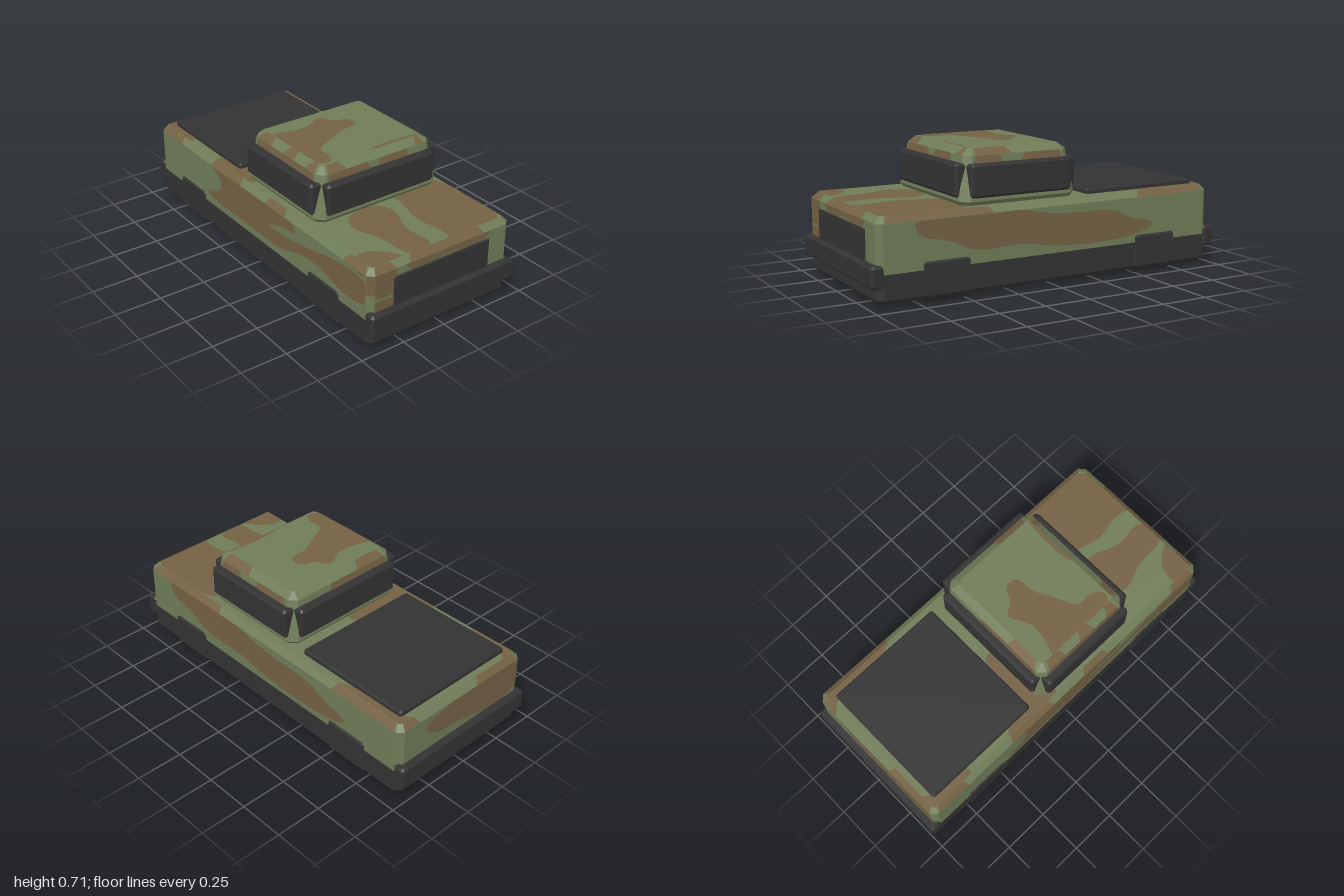
import * as THREE from 'three';
import { ConvexGeometry } from 'three/addons/geometries/ConvexGeometry.js';

const V = (x, y, z) => new THREE.Vector3(x, y, z);

// Faceted solid from horizontal rings [y, x0, x1, z0, z1, cut], with corners cut at 45 degrees
function solid(rings) {
  const pts = [];
  for (const [y, x0, x1, z0, z1, c] of rings) {
    for (const [x, sx] of [[x0, 1], [x1, -1]]) {
      for (const [z, sz] of [[z0, 1], [z1, -1]]) {
        pts.push(V(x + sx * c, y, z), V(x, y, z + sz * c));
      }
    }
  }
  return new ConvexGeometry(pts);
}

// Box with every edge bevelled by c
function bevelBox(x0, x1, y0, y1, z0, z1, c) {
  const inner = [x0 + c, x1 - c, z0 + c, z1 - c, c / 2];
  const outer = [x0, x1, z0, z1, c];
  return solid([[y0, ...inner], [y0 + c, ...outer], [y1 - c, ...outer], [y1, ...inner]]);
}

// Corner-cutting smoothing of a closed outline
function smooth(pts, rounds) {
  for (let r = 0; r < rounds; r++) {
    pts = pts.flatMap(([x, y], i) => {
      const [u, v] = pts[(i + 1) % pts.length];
      return [[x * 0.75 + u * 0.25, y * 0.75 + v * 0.25], [x * 0.25 + u * 0.75, y * 0.25 + v * 0.75]];
    });
  }
  return pts;
}

// Camouflage patch: a flat outline clamped to the face bounds, then mapped onto the face
function patchGeometry(map, [a0, a1, b0, b1], pts, rounds = 2) {
  const outline = smooth(pts, rounds).map(([a, b]) => new THREE.Vector2(
    Math.min(a1, Math.max(a0, a)), Math.min(b1, Math.max(b0, b))));
  const geo = new THREE.ShapeGeometry(new THREE.Shape(outline));
  const pos = geo.attributes.position;
  for (let i = 0; i < pos.count; i++) {
    const p = map(pos.getX(i), pos.getY(i));
    pos.setXYZ(i, p.x, p.y, p.z);
  }
  geo.computeVertexNormals();
  return geo;
}

export function createModel() {
  const model = new THREE.Group();
  const green = new THREE.MeshStandardMaterial({ name: 'camouflageGreen', color: 0x6f7c58 });
  const brown = new THREE.MeshStandardMaterial({ name: 'camouflageBrown', color: 0x746144, side: THREE.DoubleSide });
  const dark = new THREE.MeshStandardMaterial({ name: 'darkTrim', color: 0x333333 });
  const add = (name, geo, mat) => {
    const mesh = new THREE.Mesh(geo, mat);
    mesh.name = name;
    model.add(mesh);
  };

  // Body and dark chassis
  add('body', solid([
    [0.165, -0.965, 0.965, -0.435, 0.435, 0.03],
    [0.405, -0.965, 0.965, -0.435, 0.435, 0.03],
    [0.435, -0.935, 0.935, -0.405, 0.405, 0.015]]), green);
  add('chassis', solid([
    [0.022, -0.95, 0.95, -0.42, 0.42, 0.03],
    [0.04, -0.965, 0.965, -0.435, 0.435, 0.03],
    [0.166, -0.965, 0.965, -0.435, 0.435, 0.03]]), dark);

  // Bumpers and wheels
  for (const s of [-1, 1]) {
    add('bumper', bevelBox(Math.min(s, s * 0.935), Math.max(s, s * 0.935), 0.1, 0.21, -0.443, 0.443, 0.012), dark);
    for (const x of [-0.612, 0.608]) {
      const ring = (y, w, a, b) => [y, x - w, x + w, Math.min(s * a, s * b), Math.max(s * a, s * b), 0.004];
      add('wheel', solid([ring(0, 0.11, 0.37, 0.405), ring(0.04, 0.123, 0.33, 0.443),
        ring(0.195, 0.123, 0.33, 0.443), ring(0.207, 0.113, 0.34, 0.433)]), dark);
    }
  }

  // Grille and bed cover
  add('grille', bevelBox(0.93, 0.972, 0.2, 0.365, -0.295, 0.295, 0.005), dark);
  add('bedCover', bevelBox(-0.9, -0.23, 0.42, 0.462, -0.368, 0.368, 0.008), dark);

  // Cabin with windows on all four sides
  add('cabin', solid([
    [0.434, -0.15, 0.477, -0.365, 0.365, 0.035],
    [0.455, -0.165, 0.492, -0.38, 0.38, 0.042],
    [0.675, -0.13, 0.457, -0.345, 0.345, 0.035],
    [0.706, -0.09, 0.417, -0.305, 0.305, 0.01]]), green);
  add('sideWindow', bevelBox(-0.122, 0.448, 0.472, 0.638, 0.3, 0.393, 0.012), dark);
  add('sideWindow', bevelBox(-0.122, 0.448, 0.472, 0.638, -0.393, -0.3, 0.012), dark);
  add('windscreen', bevelBox(0.41, 0.504, 0.472, 0.638, -0.33, 0.33, 0.012), dark);
  add('rearWindow', bevelBox(-0.178, -0.08, 0.472, 0.638, -0.33, 0.33, 0.012), dark);

  // Camouflage helpers: smooth patches and straight pieces on narrow bands
  const patches = (name, map, bounds, list) => list.forEach(
    (pts) => add(name, patchGeometry(map, bounds, pts), brown));
  const bands = (name, map, b0, b1, spans) => spans.forEach(([a0, a1]) => add(name, patchGeometry(
    map, [-1, 1, b0, b1], [[a0, b0], [a1, b0], [a1 - 0.02, b1], [a0 + 0.02, b1]], 0), brown));

  // Body sides
  const sideBounds = [-0.935, 0.935, 0.166, 0.405];
  patches('bodySidePatch', (x, y) => V(x, y, 0.4365), sideBounds, [
    [[-0.48, 0.24], [-0.34, 0.27], [-0.3, 0.35], [-0.46, 0.44], [0.28, 0.44], [0.42, 0.36], [0.2, 0.33],
      [0.12, 0.29], [0.3, 0.3], [0.55, 0.34], [0.65, 0.37], [0.96, 0.39], [0.97, 0.24], [0.75, 0.22],
      [0.55, 0.28], [0.35, 0.25], [0.25, 0.2], [-0.1, 0.21], [-0.4, 0.2]],
    [[0.8, 0.4], [0.96, 0.39], [0.96, 0.43], [0.75, 0.43]]]);
  patches('bodySidePatch', (x, y) => V(x, y, -0.4365), sideBounds, [
    [[0.78, 0.44], [0.76, 0.32], [0.6, 0.3], [0.45, 0.22], [0.2, 0.24], [0, 0.2], [-0.3, 0.19],
      [-0.55, 0.22], [-0.62, 0.27], [-0.45, 0.3], [-0.35, 0.36], [-0.1, 0.36], [0.1, 0.38], [0.3, 0.44]]]);

  // Body ends
  const endBounds = [-0.405, 0.405, 0.166, 0.405];
  patches('frontEndPatch', (z, y) => V(0.9665, y, z), endBounds, [
    [[0.45, 0.45], [0.45, 0.31], [0.37, 0.27], [0.27, 0.28], [0.27, 0.37], [0.31, 0.45]],
    [[0.42, 0.25], [0.34, 0.27], [0.28, 0.24], [0.28, 0.2], [0.4, 0.2]],
    [[0.24, 0.44], [0.2, 0.36], [0.06, 0.36], [0, 0.38], [-0.24, 0.36], [-0.3, 0.39], [-0.28, 0.44]]]);
  patches('rearEndPatch', (z, y) => V(-0.9665, y, z), endBounds, [
    [[-0.28, 0.36], [-0.1, 0.4], [0.1, 0.45], [0.45, 0.45], [0.45, 0.24], [0.2, 0.2], [0, 0.26], [-0.2, 0.27]]]);

  // Body top
  patches('bodyTopPatch', (x, z) => V(x, 0.4365, z), [-0.935, 0.935, -0.405, 0.405], [
    [[0.43, -0.45], [1, -0.45], [1, -0.05], [0.85, -0.08], [0.72, -0.04], [0.55, -0.09], [0.42, -0.1]],
    [[0.48, 0.02], [0.6, -0.02], [0.75, 0.06], [0.95, 0.02], [0.97, 0.2], [0.75, 0.2], [0.6, 0.27], [0.48, 0.2]],
    [[0.97, 0.2], [0.86, 0.26], [0.8, 0.34], [0.82, 0.45], [0.97, 0.45]],
    [[-0.24, 0], [-0.1, 0.02], [-0.05, 0.3], [-0.08, 0.46], [-0.42, 0.46], [-0.4, 0.36], [-0.24, 0.34]],
    [[-0.97, 0.3], [-0.9, 0.35], [-0.65, 0.36], [-0.7, 0.45], [-0.97, 0.45]],
    [[-0.97, -0.45], [-0.48, -0.45], [-0.55, -0.36], [-0.9, -0.36], [-0.97, -0.3]]]);

  // Bevels around the body top and corners
  const bevel = (s) => (x, t) => V(x, 0.406 + 0.03 * t, s * (0.436 - 0.03 * t));
  bands('bodyBevelPatch', bevel(1), 0, 1, [[-0.93, -0.72], [-0.42, -0.12], [0.1, 0.28], [0.76, 0.93]]);
  bands('bodyBevelPatch', bevel(-1), 0, 1, [[-0.93, -0.5], [0.35, 0.93]]);
  const endBevel = (s) => (z, t) => V(s * (0.966 - 0.03 * t), 0.406 + 0.03 * t, z);
  bands('endBevelPatch', endBevel(1), 0, 1, [[0.28, 0.405], [-0.26, 0.2]]);
  bands('endBevelPatch', endBevel(-1), 0, 1, [[-0.405, -0.3], [0.1, 0.405]]);
  bands('cornerPatch', (t, y) => V(0.966 - 0.03 * t, y, 0.406 + 0.03 * t), 0.3, 0.405, [[0, 1]]);

  // Cabin roof, its bevels, and the strips above the windows
  patches('roofPatch', (x, z) => V(x, 0.7075, z), [-0.09, 0.417, -0.305, 0.305], [
    [[0.06, -0.12], [0.15, -0.12], [0.15, 0], [0.2, 0.08], [0.26, 0.22], [0.34, 0.2], [0.42, 0.25],
      [0.36, 0.33], [0.12, 0.33], [-0.03, 0.33], [0.02, 0.2], [0.02, 0.1], [-0.05, 0], [0.04, -0.04]],
    [[0.39, -0.02], [0.43, 0.04], [0.43, -0.33], [0.4, -0.3]]]);
  const roofBevel = (s) => (x, t) => V(x, 0.676 + 0.031 * t, s * (0.346 - 0.04 * t));
  bands('roofBevelPatch', roofBevel(1), 0, 1, [[-0.08, 0.04], [0.14, 0.24], [0.33, 0.41]]);
  bands('roofBevelPatch', roofBevel(-1), 0, 1, [[0.2, 0.41]]);
  const roofEndBevel = (s) => (z, t) => V(0.1635 + s * (0.2945 - 0.04 * t), 0.676 + 0.031 * t, z);
  bands('roofEndBevelPatch', roofEndBevel(1), 0, 1, [[0.19, 0.3], [-0.3, -0.24]]);
  bands('roofEndBevelPatch', roofEndBevel(-1), 0, 1, [[0.1, 0.29]]);
  const taper = (y) => 0.035 * (y - 0.455) / 0.22 - 0.0015;
  const strip = (s) => (x, y) => V(x, y, s * (0.38 - taper(y)));
  bands('cabinStripPatch', strip(1), 0.63, 0.675, [[-0.09, 0.42]]);
  bands('cabinStripPatch', strip(-1), 0.63, 0.675, [[-0.09, 0.15], [0.25, 0.42]]);
  const endStrip = (s) => (z, y) => V(0.1635 + s * (0.3285 - taper(y)), y, z);
  bands('cabinEndStripPatch', endStrip(1), 0.63, 0.675, [[0.04, 0.31], [-0.2, 0]]);
  bands('cabinEndStripPatch', endStrip(-1), 0.63, 0.675, [[-0.1, 0.31]]);
  return model;
}
